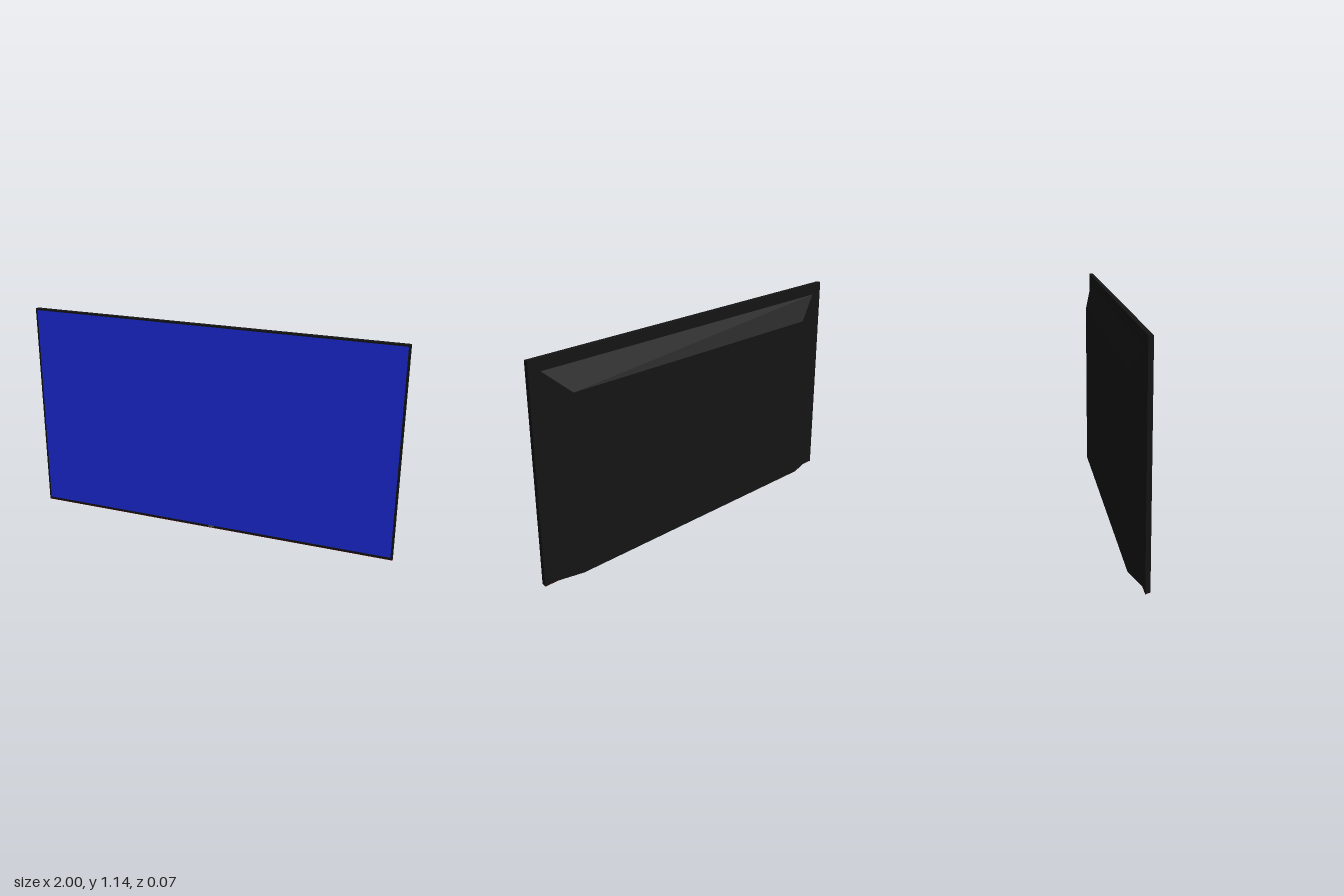
import * as THREE from 'three';

const black = new THREE.MeshStandardMaterial({ color: 0x141414 });
const blue = new THREE.MeshStandardMaterial({ color: 0x1c2be0 });
const red = new THREE.MeshStandardMaterial({ color: 0x6a0808 });
const grey = new THREE.MeshStandardMaterial({ color: 0x555555 });

// Block lofted between a back and a front rectangle, each { w: half width, y0, y1, z }
function loft(name, back, front, material) {
  const geometry = new THREE.BoxGeometry(2, 2, 2);
  const p = geometry.attributes.position;
  for (let i = 0; i < p.count; i++) {
    const r = p.getZ(i) > 0 ? front : back;
    p.setXYZ(i, p.getX(i) * r.w, p.getY(i) > 0 ? r.y1 : r.y0, r.z);
  }
  geometry.computeVertexNormals();
  const mesh = new THREE.Mesh(geometry, material);
  mesh.name = name;
  return mesh;
}

export function createModel() {
  const group = new THREE.Group();
  group.name = 'television';

  // Thin panel body with a slanted underside
  group.add(loft('panelFrame',
    { w: 1, y0: 0.002, y1: 1.145, z: 0.011 },
    { w: 1, y0: 0.009, y1: 1.145, z: 0.034 }, black));

  // Red strip along the slanted underside
  group.add(loft('bottomStrip',
    { w: 1, y0: 0, y1: 0.002, z: 0.011 },
    { w: 1, y0: 0.007, y1: 0.009, z: 0.034 }, red));

  // Bevelled housing on the back
  group.add(loft('rearHousing',
    { w: 0.8, y0: 0.012, y1: 0.96, z: -0.035 },
    { w: 0.935, y0: 0.002, y1: 1.083, z: 0.011 }, black));

  // Display surface inside the narrow bezel
  const screen = new THREE.Mesh(new THREE.PlaneGeometry(1.98, 1.115), blue);
  screen.name = 'screen';
  screen.position.set(0, 0.0215 + 1.115 / 2, 0.0346);
  group.add(screen);

  // Small plain plate on the lower bezel
  const plate = new THREE.Mesh(new THREE.BoxGeometry(0.034, 0.009, 0.002), grey);
  plate.name = 'bezelPlate';
  plate.position.set(0.01, 0.0155, 0.0345);
  group.add(plate);

  return group;
}
